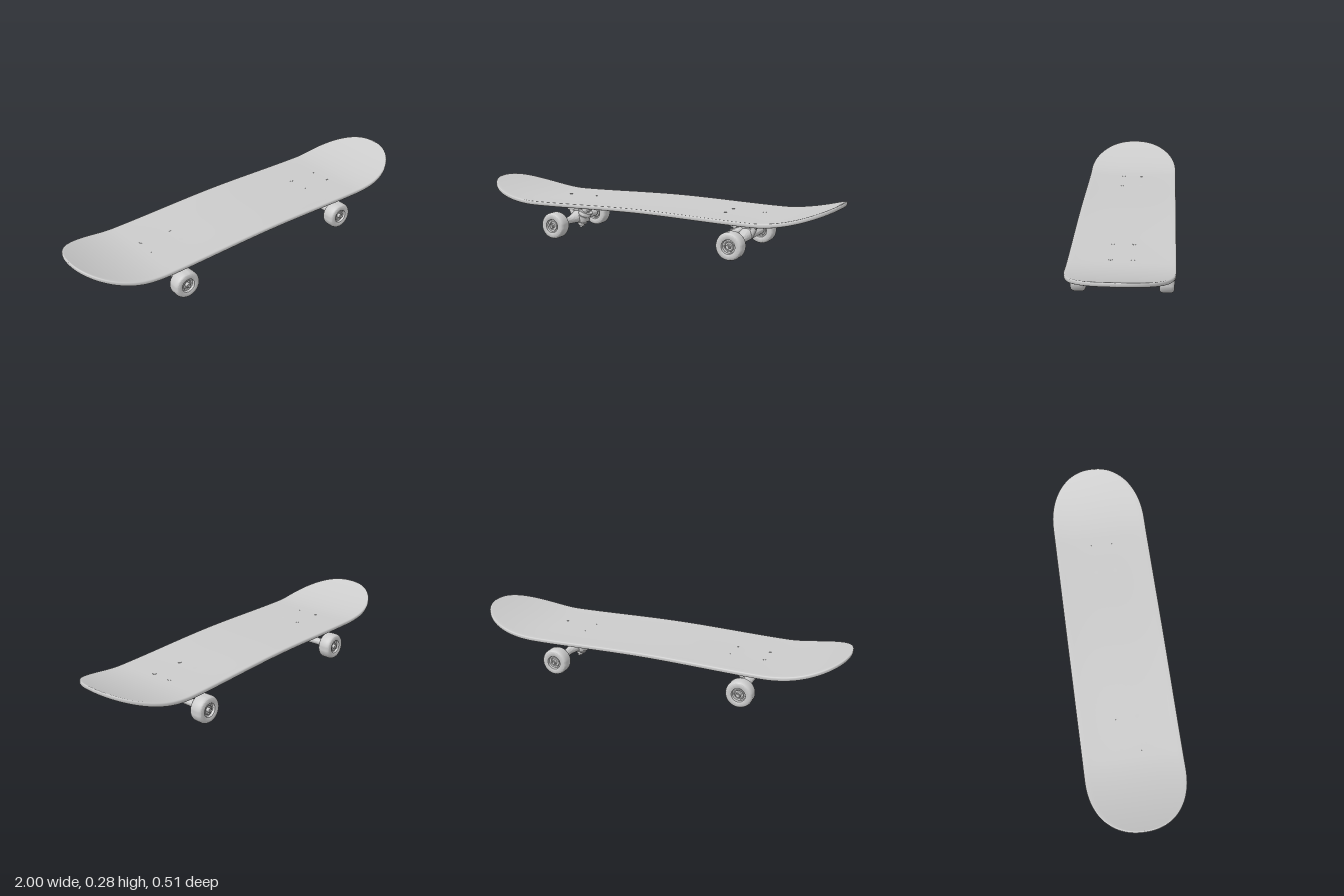
import * as THREE from 'three';
import { toCreasedNormals } from 'three/addons/utils/BufferGeometryUtils.js';

const mat = new THREE.MeshStandardMaterial({ color: 0xcccccc });

function part(name, geometry, parent, x = 0, y = 0, z = 0) {
  const mesh = new THREE.Mesh(geometry, mat);
  mesh.name = name;
  mesh.position.set(x, y, z);
  parent.add(mesh);
  return mesh;
}

// Skin a list of closed loops, each an array of [x, y, z]
function loft(rows) {
  const n = rows[0].length, index = [];
  for (let i = 0; i < rows.length - 1; i++) {
    for (let j = 0; j < n; j++) {
      const a = i * n + j, b = i * n + (j + 1) % n;
      index.push(a, b, a + n, b, b + n, a + n);
    }
  }
  const g = new THREE.BufferGeometry();
  g.setAttribute('position', new THREE.Float32BufferAttribute(rows.flat(2), 3));
  g.setIndex(index);
  g.computeVertexNormals();
  return g;
}

// Turned part, profile given as [radius, height] going up; sharp edges stay sharp
function turned(points, sides = 32) {
  const g = new THREE.LatheGeometry(points.map(p => new THREE.Vector2(...p)), sides);
  return toCreasedNormals(g, 0.6);
}

// Top surface height of the deck: slight camber and two kicked-up ends
function deckHeight(x, z) {
  const ax = Math.abs(x);
  const kick = Math.max(0, (ax - 0.62) / 0.38);
  return 0.207 - 0.012 * THREE.MathUtils.smoothstep(ax, 0, 0.65)
    + 0.093 * Math.pow(kick, 1.8) + 0.003 * (z / 0.25) ** 4 * (1 - Math.min(1, kick));
}

function deckGeometry() {
  const straight = 0.7, W = 0.253, N = 20, T = 0.022;
  // Rounded rim: [inset from outline, drop below the top]
  const rim = [[0.007, 0], [0.002, 0.002], [0, 0.007], [0, T - 0.007], [0.002, T - 0.002], [0.007, T]];
  const half = [];
  for (let p = 0; p <= 24; p++) half.push([straight * p / 24, 0]);
  for (let q = 1; q <= 28; q++) half.push([straight, q / 28 * Math.PI / 2]);
  const stations = [
    ...half.slice(1).reverse().map(([s, a]) => [s, a, -1]),
    ...half.map(([s, a]) => [s, a, 1]),
  ];
  return loft(stations.map(([s, a, side]) => {
    const at = (layer, v) => {
      const [inset, drop] = rim[layer];
      const x = side * (s + (1 - straight - inset) * Math.pow(Math.sin(a), 0.91));
      const z = v * (W - inset) * Math.pow(Math.max(0, Math.cos(a)), 0.91);
      return [x, deckHeight(x, z) - drop, z];
    };
    const row = [];
    for (let j = 0; j <= N; j++) row.push(at(0, -1 + 2 * j / N));
    for (let k = 1; k <= 4; k++) row.push(at(k, 1));
    for (let j = 0; j <= N; j++) row.push(at(5, 1 - 2 * j / N));
    for (let k = 4; k >= 1; k--) row.push(at(k, -1));
    return row;
  }));
}

// Axle casting: round tube that swells into a yoke at the middle
function hangerGeometry() {
  const rows = [];
  const ring = (z, scale) => {
    const b = Math.pow(Math.max(0, 1 - Math.abs(z) / 0.095), 1.7);
    const top = 0.092 + 0.032 * b, bottom = 0.053 - 0.003 * b;
    const left = -0.02 - 0.04 * b, right = 0.02 + 0.012 * b;
    const row = [];
    for (let j = 0; j < 28; j++) {
      const a = j / 28 * Math.PI * 2;
      row.push([
        (left + right) / 2 + scale * Math.cos(a) * (right - left) / 2,
        (top + bottom) / 2 + scale * Math.sin(a) * (top - bottom) / 2, z]);
    }
    rows.push(row);
  };
  ring(-0.18, 0);
  for (let i = 0; i <= 48; i++) ring(-0.18 + 0.36 * i / 48, 1);
  ring(0.18, 0);
  return toCreasedNormals(loft(rows), 0.8);
}

// Pedestal under the base plate, narrowing downwards
function pedestalGeometry() {
  const g = new THREE.BoxGeometry(1, 1, 1);
  const p = g.attributes.position;
  for (let i = 0; i < p.count; i++) {
    const up = p.getY(i) > 0, out = p.getX(i) > 0;
    p.setXYZ(i,
      out ? (up ? 0.09 : 0.05) : (up ? -0.108 : -0.085),
      up ? 0.174 : 0.117,
      Math.sign(p.getZ(i)) * (up ? 0.026 : 0.016));
  }
  g.computeVertexNormals();
  return g;
}

function wheelGeometry() {
  const side = [[0.009, 0.02], [0.02, 0.02], [0.021, 0.026], [0.025, 0.026], [0.027, 0.022],
    [0.033, 0.022], [0.036, 0.034], [0.04, 0.036], [0.055, 0.036], [0.062, 0.034], [0.067, 0.028], [0.07, 0.019]];
  return turned([...side.map(([r, h]) => [r, -h]), ...side.slice().reverse()], 48);
}

function createTruck() {
  const truck = new THREE.Group();
  truck.name = 'truck';

  part('basePlate', new THREE.BoxGeometry(0.21, 0.012, 0.13), truck, -0.01, 0.174, 0);
  part('pedestal', pedestalGeometry(), truck);
  part('hanger', hangerGeometry(), truck);

  // Pivot nose reaching from the hanger up into the pedestal
  const nose = part('pivotNose', turned([[0, -0.03], [0.017, -0.03], [0.013, 0.03], [0, 0.03]], 20), truck, 0.03, 0.105, 0);
  nose.rotation.z = -0.5;

  // Tilted kingpin stack: washers, bushings, yoke ring, nut and pin
  const steering = new THREE.Group();
  steering.name = 'kingpinAssembly';
  steering.position.set(-0.055, 0.114, 0);
  steering.rotation.z = 0.36;
  truck.add(steering);
  const disc = (name, r1, r2, top, bottom, sides = 28) =>
    part(name, new THREE.CylinderGeometry(r1, r2, top - bottom, sides), steering, 0, (top + bottom) / 2, 0);
  disc('kingpinSeat', 0.022, 0.024, 0.05, 0);
  disc('upperWasher', 0.04, 0.04, 0.004, -0.003);
  part('upperBushing', turned([[0, -0.024], [0.032, -0.024], [0.036, -0.018], [0.036, -0.008], [0.033, -0.003], [0, -0.003]]), steering);
  disc('yokeRing', 0.037, 0.035, -0.024, -0.046);
  part('lowerBushing', turned([[0, -0.064], [0.023, -0.064], [0.03, -0.048], [0.03, -0.044], [0, -0.044]]), steering);
  disc('lowerWasher', 0.028, 0.026, -0.062, -0.068);
  disc('kingpinNut', 0.021, 0.019, -0.068, -0.085, 6);
  disc('kingpin', 0.011, 0.009, -0.02, -0.096, 20);

  // Axle, wheels and their nuts
  part('axle', new THREE.CylinderGeometry(0.008, 0.008, 0.508, 16), truck, 0, 0.071, 0).rotation.x = Math.PI / 2;
  const wheel = wheelGeometry();
  for (const s of [-1, 1]) {
    part('wheel', wheel, truck, 0, 0.0705, s * 0.2115).rotation.x = Math.PI / 2;
    part('axleNut', new THREE.CylinderGeometry(0.013, 0.013, 0.022, 6), truck, 0, 0.071, s * 0.238).rotation.x = Math.PI / 2;
  }

  // Mounting bolts: heads on top of the deck, nuts under the plate
  for (const x of [-0.1, 0.07]) {
    for (const z of [-0.052, 0.052]) {
      const y = deckHeight(0.51 + x, z);
      part('boltHead', new THREE.CylinderGeometry(0.009, 0.009, 0.004, 16), truck, x, y - 0.001, z);
      part('boltNut', new THREE.CylinderGeometry(0.011, 0.01, 0.008, 6), truck, x, 0.166, z);
    }
  }
  return truck;
}

export function createModel() {
  const model = new THREE.Group();
  model.name = 'skateboard';
  part('deck', deckGeometry(), model);

  // Both trucks have their kingpins towards the middle
  for (const s of [-1, 1]) {
    const truck = createTruck();
    truck.position.x = s * 0.51;
    if (s < 0) truck.rotation.y = Math.PI;
    model.add(truck);
  }
  return model;
}
